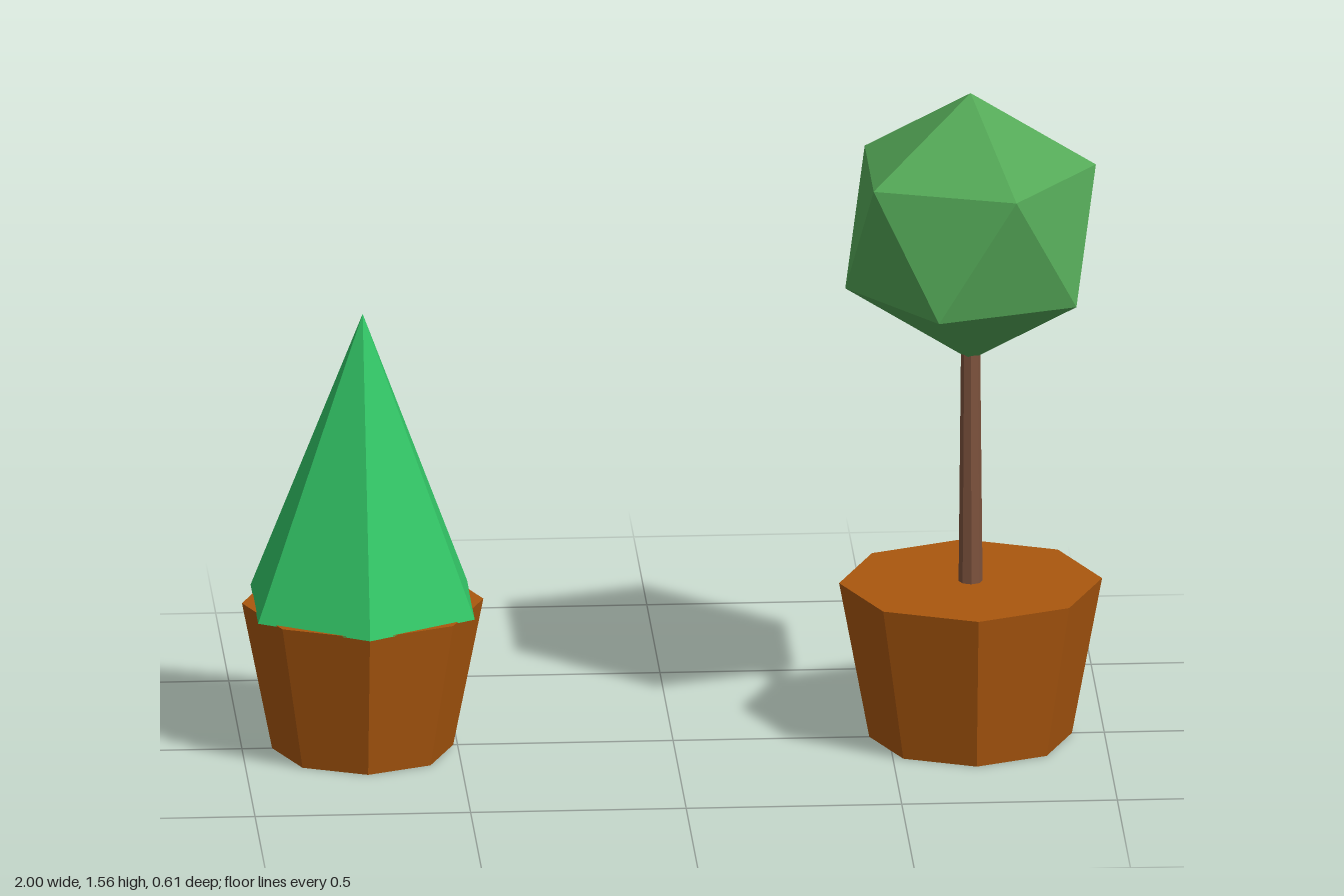
import * as THREE from 'three';

const material = (name, color) => {
  const m = new THREE.MeshStandardMaterial({ color, flatShading: true });
  m.name = name;
  return m;
};

export function createModel() {
  const model = new THREE.Group();
  model.name = 'pottedTrees';

  const terracotta = material('terracotta', 0xaa570e);
  const coneGreen = material('bright green', 0x32c566);
  const leafGreen = material('leaf green', 0x54a857);
  const bark = material('bark brown', 0x7d523d);

  const add = (parent, name, geometry, mat, y) => {
    const mesh = new THREE.Mesh(geometry, mat);
    mesh.name = name;
    mesh.position.y = y;
    parent.add(mesh);
    return mesh;
  };

  // Tree group with an eight-sided tapered pot standing on the ground
  const pottedTree = (name, x, topRadius, bottomRadius, height) => {
    const tree = new THREE.Group();
    tree.name = name;
    tree.position.x = x;
    model.add(tree);
    add(tree, 'pot', new THREE.CylinderGeometry(topRadius, bottomRadius, height, 8), terracotta, height / 2);
    return tree;
  };

  // Cone tree: six-sided foliage resting on the pot rim
  const coneTree = pottedTree('coneTree', -0.72, 0.28, 0.21, 0.355);
  const coneHeight = 0.703;
  add(coneTree, 'coneFoliage', new THREE.ConeGeometry(0.29, coneHeight, 6), coneGreen, 0.352 + coneHeight / 2);

  // Ball tree: thin tapered trunk with a faceted crown
  const ballTree = pottedTree('ballTree', 0.69, 0.305, 0.235, 0.376);
  add(ballTree, 'trunk', new THREE.CylinderGeometry(0.022, 0.028, 0.62, 8), bark, 0.67);

  // Turn the icosahedron so one corner points straight up
  const crown = new THREE.IcosahedronGeometry(0.325, 0);
  crown.rotateZ(-Math.atan(2 / (1 + Math.sqrt(5))));
  add(ballTree, 'crown', crown, leafGreen, 1.24);

  return model;
}
